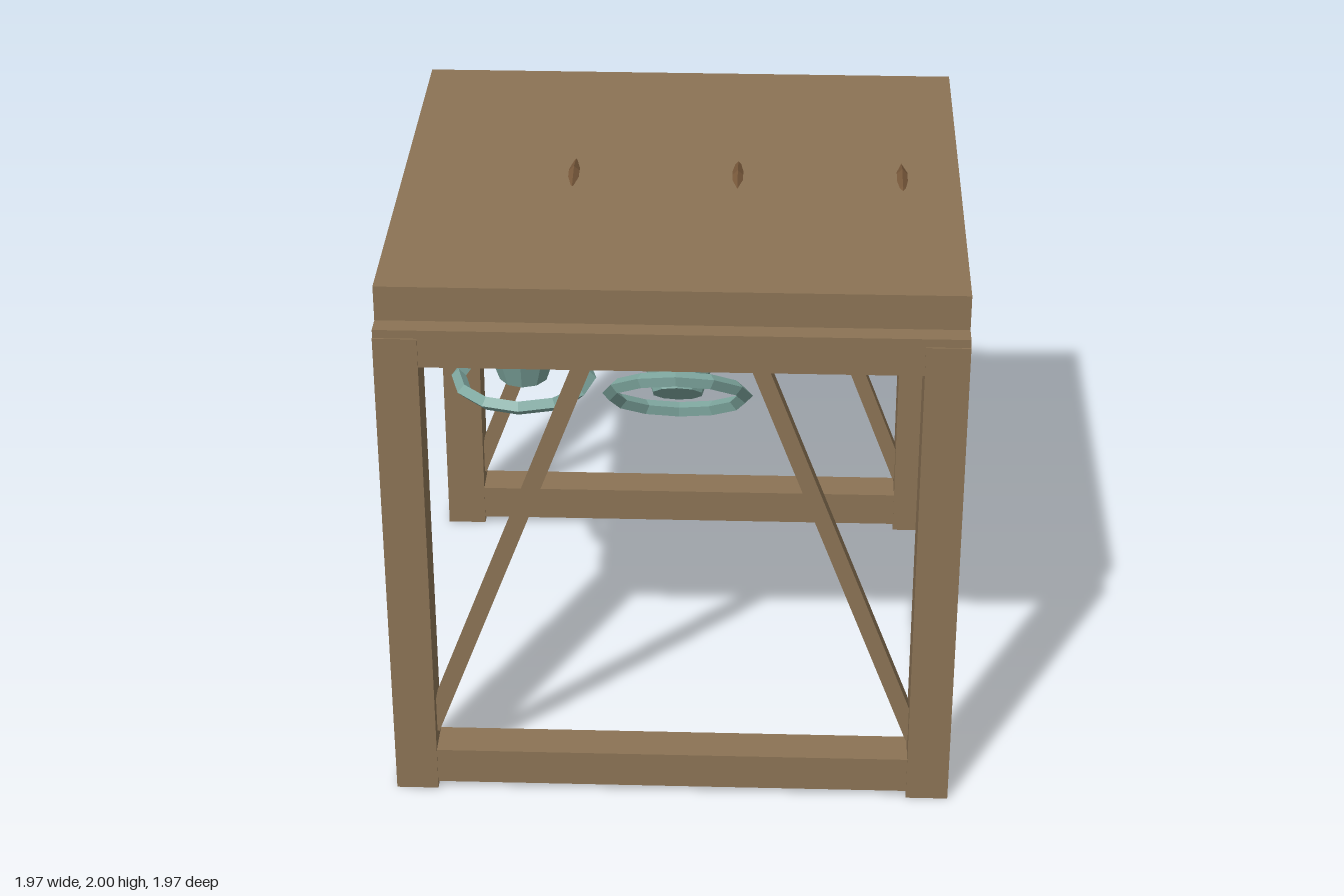
import * as THREE from 'three';

export function createModel() {
  const model = new THREE.Group();
  const mat = (name, color) => {
    const m = new THREE.MeshStandardMaterial({ color, flatShading: true });
    m.name = name;
    return m;
  };
  const wood = mat('wood', 0x8b7355);
  const wheelWood = mat('wheel wood', 0x7a5a3c);
  const patina = mat('green bronze', 0x7fa8a0);

  const add = (parent, name, geometry, material, x = 0, y = 0, z = 0) => {
    const mesh = new THREE.Mesh(geometry, material);
    mesh.name = name;
    mesh.position.set(x, y, z);
    parent.add(mesh);
    return mesh;
  };
  const box = (parent, name, w, h, d, x, y, z) =>
    add(parent, name, new THREE.BoxGeometry(w, h, d), wood, x, y, z);

  // Timber frame, the roof slab resting on the post tops
  const frame = new THREE.Group();
  frame.name = 'frame';
  model.add(frame);
  box(frame, 'roofSlab', 1.966, 0.155, 1.82, 0, 1.8975, 0);
  for (const s of [-1, 1]) {
    box(frame, 'sideTopRail', 0.14, 0.135, 1.95, s * 0.91, 1.7805, 0);
    box(frame, 'crossTopRail', 1.966, 0.137, 0.14, 0, 1.7815, s * 0.909);
    box(frame, 'bottomRail', 1.95, 0.136, 0.14, 0, 0.094, s * 0.909);
    for (const t of [-1, 1]) {
      box(frame, 'post', 0.148, 1.82, 0.148, s * 0.91, 0.91, t * 0.91);
      // Diagonal brace, its foot buried in the post
      const top = new THREE.Vector2(0.295, 1.703);
      const foot = new THREE.Vector2(0.855, 0.225);
      const brace = box(frame, 'brace', 0.056, top.distanceTo(foot), 0.056,
        s * (top.x + foot.x) / 2, (top.y + foot.y) / 2, t * 0.909);
      brace.rotation.z = s * Math.atan2(foot.x - top.x, top.y - foot.y);
    }
  }

  // Three swinging bells, each turning about its headstock
  const swing = 42 * Math.PI / 180;
  [[-0.58, 0], [0, -swing], [0.58, swing]].forEach(([x, angle]) => {
    const bell = new THREE.Group();
    bell.name = 'bell';
    bell.position.set(x, 1.715, 0);
    bell.rotation.x = angle;
    model.add(bell);

    box(bell, 'headstock', 0.33, 0.08, 0.125, 0, 0, 0);
    add(bell, 'bellBody', new THREE.CylinderGeometry(0.246, 0.09, 0.47, 10), patina, 0, -0.33, 0);
    const lip = add(bell, 'bellLip', new THREE.TorusGeometry(0.24, 0.027, 4, 12), patina, 0, -0.567, 0);
    lip.rotation.x = Math.PI / 2;
    const wheel = add(bell, 'wheel', new THREE.TorusGeometry(0.267, 0.019, 4, 16), wheelWood, 0.2, 0, 0);
    wheel.rotation.y = Math.PI / 2;
  });

  return model;
}
